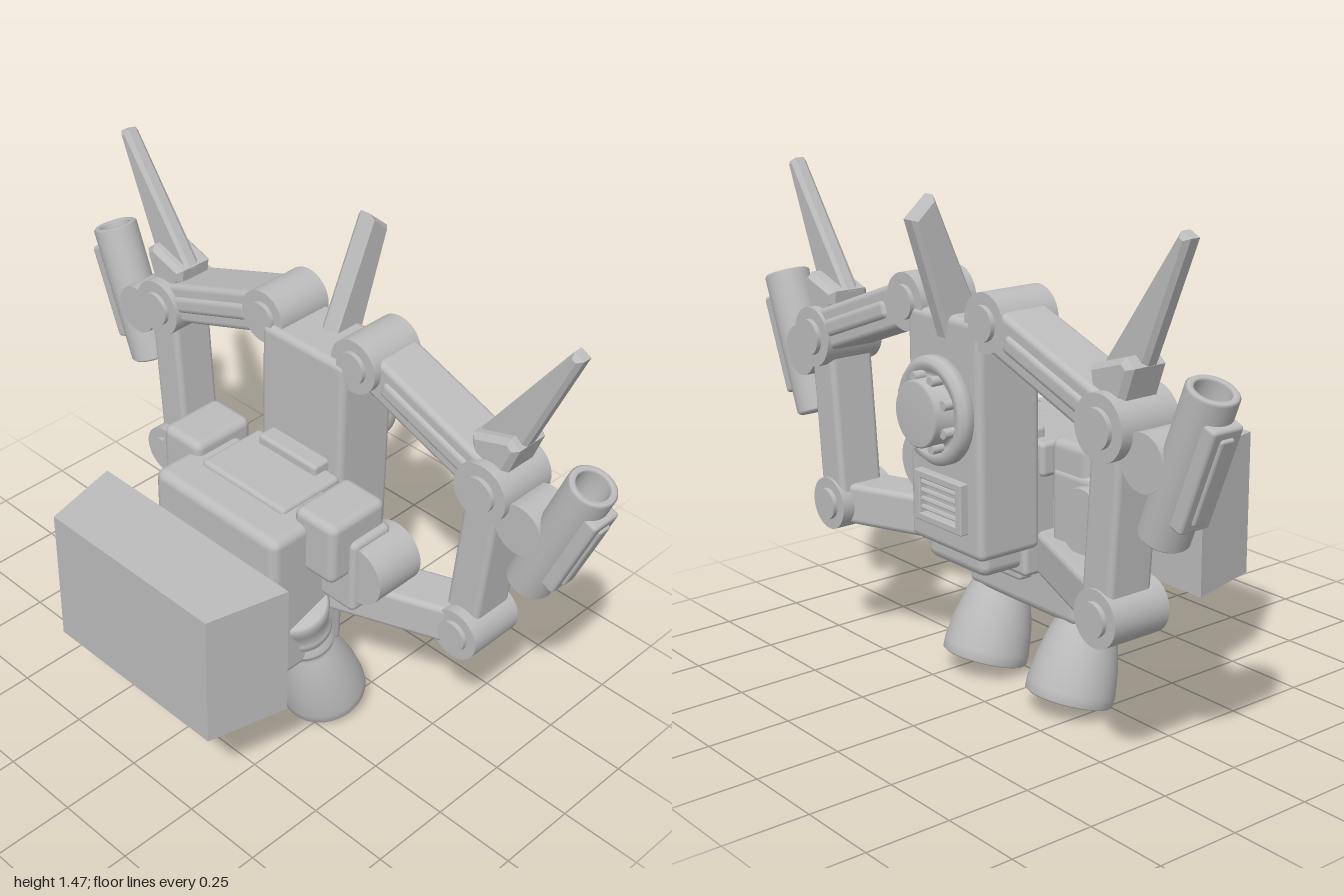
import * as THREE from 'three';
import { RoundedBoxGeometry } from 'three/addons/geometries/RoundedBoxGeometry.js';

const grey = new THREE.MeshStandardMaterial({ color: 0xbcbcbc });
const greyOpen = grey; // bells and barrels are closed profiles, so one-sided is enough

export function createModel() {
  const model = new THREE.Group();

  const add = (name, geometry, x = 0, y = 0, z = 0, parent = model) => {
    const mesh = new THREE.Mesh(geometry, grey);
    mesh.name = name;
    mesh.position.set(x, y, z);
    parent.add(mesh);
    return mesh;
  };

  // Softly bevelled box given by its limits on each axis
  const block = (name, x0, x1, y0, y1, z0, z1, bevel = 0.015) =>
    add(name, new RoundedBoxGeometry(Math.abs(x1 - x0), y1 - y0, z1 - z0, 2, bevel),
      (x0 + x1) / 2, (y0 + y1) / 2, (z0 + z1) / 2);

  // Cylinder lying along z
  const drum = (name, x, y, z0, z1, r) =>
    add(name, new THREE.CylinderGeometry(r, r, z1 - z0, 36).rotateX(Math.PI / 2), x, y, (z0 + z1) / 2);

  // Pivot with a smaller cap showing at each end
  const joint = (name, x, y, z0, z1, r) => {
    drum(name, x, y, z0, z1, r);
    drum(name + 'Cap', x, y, z0 - 0.014, z1 + 0.014, r * 0.6);
  };

  // Bevelled bar between two points
  const bar = (name, a, b, height, depth) => {
    const p = new THREE.Vector3(...a), q = new THREE.Vector3(...b);
    const dir = q.clone().sub(p);
    const mid = p.add(q).multiplyScalar(0.5);
    const mesh = add(name, new RoundedBoxGeometry(dir.length(), height, depth, 2, 0.018), mid.x, mid.y, mid.z);
    if (dir.x < 0) dir.negate();
    mesh.quaternion.setFromUnitVectors(new THREE.Vector3(1, 0, 0), dir.normalize());
    return mesh;
  };

  // Flat plate cut from an outline and centred on its thickness
  const plate = (name, points, thickness, bevel) => {
    const shape = new THREE.Shape(points.map(([x, y]) => new THREE.Vector2(x, y)));
    const geometry = new THREE.ExtrudeGeometry(shape, {
      depth: thickness - 2 * bevel, bevelEnabled: bevel > 0, bevelThickness: bevel,
      bevelSize: bevel, bevelOffset: -bevel, bevelSegments: 1,
    });
    return add(name, geometry.translate(0, 0, bevel - thickness / 2));
  };

  const lathe = (points, segments = 40) =>
    new THREE.LatheGeometry(points.map(([r, y]) => new THREE.Vector2(r, y)), segments);

  // Floating front block, wider at its back
  const frontBlock = plate('frontBlock', [[-0.37, -0.24], [0.37, -0.24], [0.31, -0.485], [-0.31, -0.485]], 0.43, 0);
  frontBlock.rotation.x = -Math.PI / 2;
  frontBlock.position.y = 0.53;

  // Main pack, bridge and tower
  block('mainBody', -0.245, 0.245, 0.27, 0.785, -0.12, 0.172, 0.03);
  block('bodyTopStep', -0.165, 0.165, 0.7, 0.8, -0.17, 0.06, 0.015);
  block('bridge', -0.15, 0.15, 0.42, 0.77, -0.22, -0.1);
  block('topLatch', -0.115, 0.115, 0.74, 0.83, -0.2, -0.115, 0.012);
  block('tower', -0.16, 0.16, 0.5, 1.16, -0.38, -0.17, 0.022);
  block('towerFoot', -0.13, 0.13, 0.44, 0.56, -0.35, -0.16, 0.03);
  block('lowerBuckle', -0.055, 0.055, 0.37, 0.435, -0.165, -0.1, 0.012);

  // Fin on top of the tower, leaning back
  const fin = plate('centreFin', [[0.24, 1.08], [0.412, 1.48], [0.482, 1.42], [0.375, 1.08]], 0.058, 0.012);
  fin.rotation.y = Math.PI / 2;

  // Round hatch on the back
  const hatch = add('backHatch', lathe([[0, 0], [0.135, 0], [0.15, 0.012], [0.15, 0.035], [0.138, 0.05],
    [0.118, 0.05], [0.108, 0.036], [0.092, 0.036], [0.092, 0.088], [0.086, 0.094], [0, 0.094]]), 0, 0.9, -0.378);
  hatch.rotation.x = -Math.PI / 2;
  for (let i = 0; i < 8; i++) {
    const a = (i + 0.5) * Math.PI / 4;
    drum('hatchBolt', 0.1 * Math.cos(a), 0.9 + 0.1 * Math.sin(a), -0.45, -0.4, 0.014);
  }

  // Vent: frame with slats
  for (const y of [0.57, 0.692]) block('ventFrame', -0.105, 0.105, y, y + 0.022, -0.405, -0.37, 0.004);
  for (const s of [-1, 1]) block('ventFrame', s * 0.105, s * 0.08, 0.575, 0.71, -0.405, -0.37, 0.004);
  for (let i = 0; i < 4; i++) {
    const slat = block('ventSlat', -0.085, 0.085, 0.6 + i * 0.024, 0.612 + i * 0.024, -0.4, -0.372, 0.003);
    slat.rotation.x = 0.35;
  }

  for (const s of [1, -1]) {
    // Side pods and drums
    block('shoulderPod', s * 0.19, s * 0.345, 0.625, 0.825, -0.165, 0.048, 0.025);
    block('podRear', s * 0.2, s * 0.365, 0.5, 0.745, -0.17, -0.02, 0.02);
    drum('sideDrum', s * 0.357, 0.632, -0.2, -0.035, 0.093);

    // Jointed arm frame
    joint('shoulderJoint', s * 0.175, 1.163, -0.375, -0.19, 0.081);
    bar('upperArm', [s * 0.19, 1.155, -0.295], [s * 0.62, 1.0, -0.295], 0.125, 0.16);
    bar('upperArmRidge', [s * 0.26, 1.13, -0.295], [s * 0.57, 1.018, -0.295], 0.055, 0.178);
    joint('elbowJoint', s * 0.633, 0.985, -0.385, -0.195, 0.088);
    bar('forearm', [s * 0.63, 0.97, -0.285], [s * 0.59, 0.48, -0.285], 0.112, 0.145);
    joint('lowerJoint', s * 0.602, 0.478, -0.365, -0.18, 0.079);
    bar('lowerArm', [s * 0.6, 0.482, -0.275], [s * 0.12, 0.482, -0.085], 0.125, 0.15);

    // Raised blade on the elbow
    plate('bladeCollar', [[s * 0.715, 1.14], [s * 0.685, 1.165], [s * 0.56, 1.125], [s * 0.565, 1.085],
      [s * 0.61, 0.99], [s * 0.66, 0.99]], 0.13, 0.015).position.z = -0.292;
    plate('blade', [[s * 0.71, 1.13], [s * 0.852, 1.465], [s * 0.82, 1.48], [s * 0.56, 1.12]],
      0.052, 0.012).position.z = -0.285;

    // Tilted hollow barrel with an outer rail
    drum('barrelMount', s * 0.752, 0.918, -0.35, -0.215, 0.076);
    const barrel = new THREE.Group();
    barrel.name = 'barrel';
    barrel.position.set(s * 0.84, 0.92, -0.283);
    barrel.rotation.z = -s * 0.375;
    model.add(barrel);
    add('barrelTube', lathe([[0, -0.218], [0.06, -0.218], [0.068, -0.21], [0.068, 0.212], [0.062, 0.218],
      [0.05, 0.218], [0.046, 0.212], [0.046, 0.06], [0, 0.06]]), 0, 0, 0, barrel);
    add('barrelRail', new RoundedBoxGeometry(0.05, 0.3, 0.1, 2, 0.01), s * 0.06, 0.01, 0, barrel);
    add('barrelRailStrip', new RoundedBoxGeometry(0.04, 0.25, 0.045, 2, 0.008), s * 0.073, 0.01, 0, barrel);

    // Thruster: stepped neck and open bell, tilted backwards
    const thruster = add('thruster', lathe([[0, 0.2], [0.055, 0.2], [0.085, 0.12], [0.112, 0.02], [0.12, 0],
      [0.127, 0.005], [0.128, 0.035], [0.118, 0.11], [0.098, 0.19], [0.078, 0.25], [0.07, 0.262], [0.082, 0.27],
      [0.085, 0.285], [0.074, 0.3], [0.074, 0.31], [0.085, 0.322], [0.085, 0.34], [0.078, 0.352],
      [0.09, 0.39], [0.098, 0.42], [0.092, 0.44], [0, 0.44]]), s * 0.193, 0.046, -0.1);
    thruster.rotation.x = 0.31;
  }

  return model;
}
